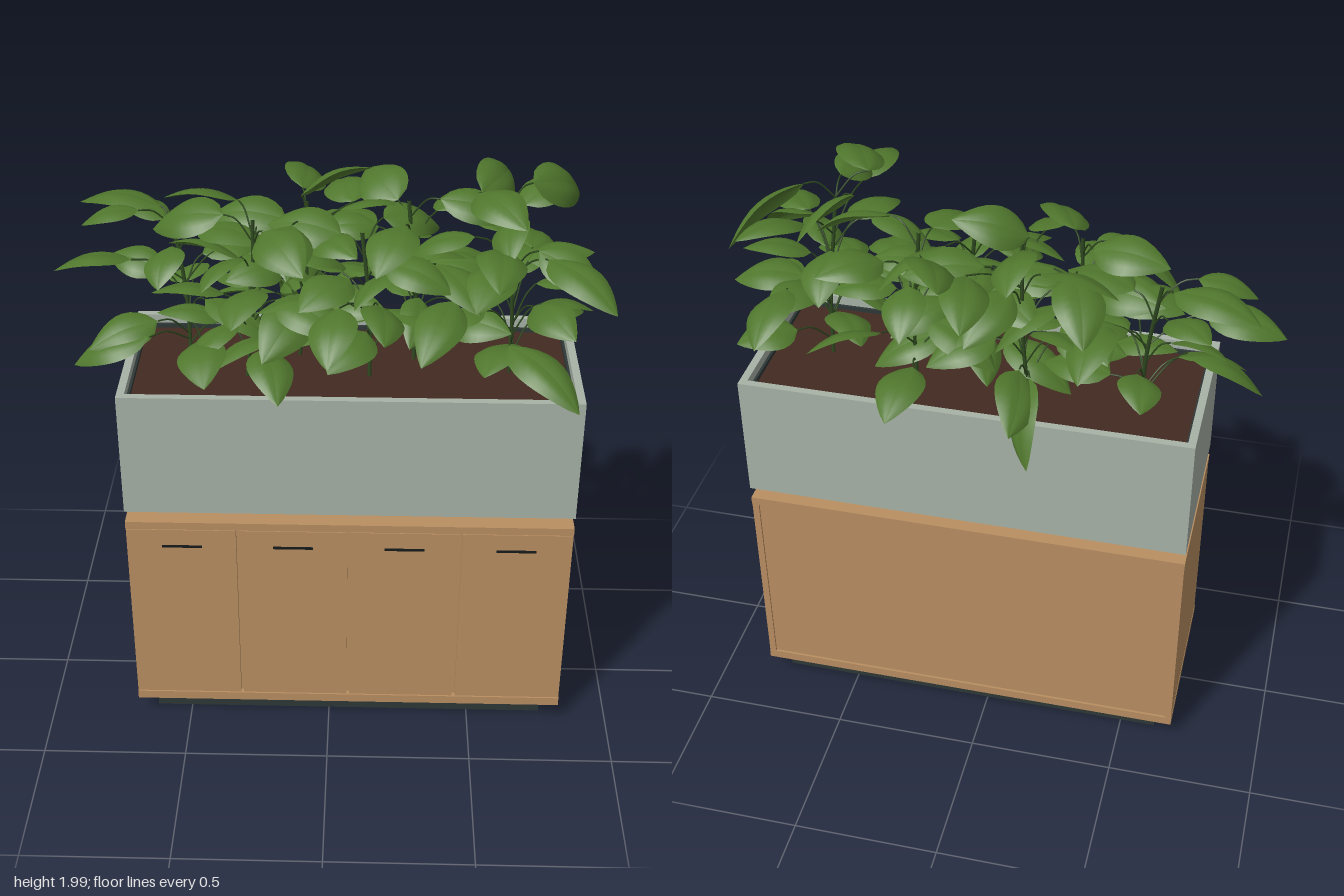
import * as THREE from 'three';
import { mergeGeometries } from 'three/addons/utils/BufferGeometryUtils.js';

const mat = (name, color, side = THREE.FrontSide) => {
  const m = new THREE.MeshStandardMaterial({ color, side });
  m.name = name;
  return m;
};
const V = (x, y, z) => new THREE.Vector3(x, y, z);

// Small seeded generator
function seeded(seed) {
  let s = seed;
  return (a, b) => {
    s = (s * 16807) % 2147483647;
    return a + (b - a) * (s / 2147483647);
  };
}

// Unit leaf along +z: two curved halves meeting in a creased midrib
function leafGeometry() {
  const halves = [-1, 1].map((side) => {
    const g = new THREE.PlaneGeometry(1, 1, 3, 10);
    const p = g.attributes.position;
    for (let i = 0; i < p.count; i++) {
      const u = p.getX(i) + 0.5;
      const across = side > 0 ? u : u - 1;
      const t = 0.5 - p.getY(i);
      const half = 0.5 * Math.pow(Math.max(0, Math.sin(Math.PI * Math.pow(t, 0.78))), 0.85);
      const a = Math.abs(across);
      const y = 0.13 * Math.sin(Math.PI * t) + half * (0.16 * a - 0.3 * a * a);
      p.setXYZ(i, across * half, y, t);
    }
    g.computeVertexNormals();
    return g;
  });
  return mergeGeometries(halves);
}

export function createModel() {
  const model = new THREE.Group();
  model.name = 'cabinetPlanter';

  const wood = mat('wood', 0xb98f62);
  const dark = mat('charcoal', 0x2e3737);
  const black = mat('handleBlack', 0x15191a);
  const stone = mat('greyGreenPlanter', 0xa8b3a7);
  const earth = mat('soil', 0x422a20);
  const green = mat('leafGreen', 0x50772d, THREE.DoubleSide);
  const stemGreen = mat('stemGreen', 0x2f4a20);

  const add = (name, geo, material, parent = model) => {
    const m = new THREE.Mesh(geo, material);
    m.name = name;
    parent.add(m);
    return m;
  };
  // Box given by its limits on each axis
  const box = (name, material, x0, x1, y0, y1, z0, z1, parent) => {
    const m = add(name, new THREE.BoxGeometry(x1 - x0, y1 - y0, z1 - z0), material, parent);
    m.position.set((x0 + x1) / 2, (y0 + y1) / 2, (z0 + z1) / 2);
    return m;
  };

  const L = -0.688, R = 0.826, B = -0.315, F = 0.29;

  // Cabinet
  const cabinet = new THREE.Group();
  cabinet.name = 'cabinet';
  model.add(cabinet);
  box('plinth', dark, -0.624, 0.763, 0, 0.072, -0.265, 0.239, cabinet);
  box('bottomBoard', wood, L, R, 0.072, 0.104, B, F, cabinet);
  box('topBoard', wood, L, R, 0.818, 0.846, B, F, cabinet);
  box('carcass', wood, L + 0.024, R - 0.024, 0.104, 0.818, B + 0.008, F - 0.022, cabinet);
  box('sidePanel', wood, L + 0.001, L + 0.024, 0.104, 0.818, B + 0.001, F - 0.02, cabinet);
  box('sidePanel', wood, R - 0.024, R - 0.001, 0.104, 0.818, B + 0.001, F - 0.02, cabinet);

  // Four doors with slim pulls
  const pitch = (R - L) / 4;
  for (let i = 0; i < 4; i++) {
    const x0 = L + i * pitch, cx = x0 + pitch / 2;
    box('door', wood, x0 + (i ? 0.005 : 0.001), x0 + pitch - (i < 3 ? 0.005 : 0.001), 0.108, 0.815, F - 0.02, F - 0.001, cabinet);
    box('doorPull', black, cx - 0.068, cx + 0.068, 0.745, 0.753, F - 0.001, F + 0.003, cabinet);
  }

  // Tapered feet under the planter
  for (const x of [-0.546, 0.684]) for (const z of [-0.2, 0.178]) {
    add('planterFoot', new THREE.CylinderGeometry(0.023, 0.029, 0.044, 20), dark).position.set(x, 0.868, z);
  }

  // Planter walls, dark liner, base and soil
  const rect = (P, i) => P.moveTo(L + i, B + i).lineTo(R - i, B + i).lineTo(R - i, F - i).lineTo(L + i, F - i).closePath();
  const frame = (name, material, outerInset, innerInset, y0, y1) => {
    const ring = rect(new THREE.Shape(), outerInset);
    ring.holes.push(rect(new THREE.Path(), innerInset));
    const g = new THREE.ExtrudeGeometry(ring, { depth: y1 - y0, bevelEnabled: false });
    g.rotateX(Math.PI / 2);
    add(name, g, material).position.y = y1;
  };
  const wall = 0.026;
  frame('planterWalls', stone, 0, wall, 0.888, 1.332);
  frame('planterLiner', dark, wall, wall + 0.009, 0.92, 1.3);
  box('planterBase', dark, L + 0.02, R - 0.02, 0.886, 0.889, B + 0.02, F - 0.02);
  box('soilBed', earth, L + wall, R - wall, 0.89, 1.285, B + wall, F - wall);

  // Plants
  const rnd = seeded(2027);
  const leafGeo = leafGeometry();
  const tube = (pts, r) => new THREE.TubeGeometry(new THREE.CatmullRomCurve3(pts), 8, r, 5);
  const addLeaf = (base, tip, width, roll, parent) => {
    const dir = tip.clone().sub(base), len = dir.length();
    dir.normalize();
    const right = V(0, 1, 0).cross(dir).normalize();
    const up = dir.clone().cross(right);
    const m = add('leaf', leafGeo, green, parent);
    m.quaternion.setFromRotationMatrix(new THREE.Matrix4().makeBasis(right, up, dir));
    m.rotateZ(roll);
    m.position.copy(base);
    m.scale.set(width, len, len);
  };

  // Stem foot x, z and head x, y, z
  const stems = [
    [-0.48, -0.08, -0.53, 1.8, -0.14],
    [-0.28, 0.05, -0.25, 1.84, 0.02],
    [-0.11, -0.1, -0.08, 1.86, -0.09],
    [0.13, 0.04, 0.1, 1.8, 0.02],
    [0.28, -0.08, 0.25, 1.86, -0.1],
    [0.6, 0, 0.56, 1.88, 0.02],
  ];
  const plants = stems.map(([fx, fz, hx, hy, hz]) => {
    const group = new THREE.Group();
    group.name = 'plant';
    model.add(group);
    const curve = new THREE.CatmullRomCurve3([
      V(fx, 1.27, fz), V(fx * 0.6 + hx * 0.4 + 0.012, 1.5, fz * 0.6 + hz * 0.4), V(hx, hy, hz)]);
    add('stem', new THREE.TubeGeometry(curve, 12, 0.0065, 6), stemGreen, group);
    return { group, curve, head: hy };
  });
  // Leaf with its stalk, springing a little below the leaf base
  const stalked = (plant, base, tip, width, roll) => {
    const t = THREE.MathUtils.clamp((base.y - 0.07 - 1.27) / (plant.head - 1.27), 0.1, 1);
    const root = plant.curve.getPoint(t);
    const mid = root.clone().lerp(base, 0.6);
    mid.y += 0.025;
    add('leafStalk', tube([root, mid, base], 0.003), stemGreen, plant.group);
    addLeaf(base, tip, width, roll, plant.group);
  };

  // Inner foliage spirals up each stem, thinner on the first plant
  plants.forEach((plant, k) => {
    const n = k === 0 ? 10 : 15;
    for (let i = 0; i < n; i++) {
      const f = i / (n - 1);
      const a = i * 2.4 + k * 1.1;
      const y = 1.43 + f * (plant.head - 1.43) + rnd(-0.02, 0.03);
      const stem = plant.curve.getPoint(Math.min(1, (y - 1.27) / (plant.head - 1.27)));
      const reach = rnd(0.07, 0.17) * (1 - 0.15 * f);
      const len = rnd(0.21, 0.27);
      const rise = rnd(-0.5, 0.08) * len;
      const base = V(stem.x + Math.cos(a) * reach * 0.8, y, stem.z + Math.sin(a) * reach * (k ? 1.1 : 0.8));
      const b = a + rnd(-0.4, 0.4);
      const tip = V(base.x + Math.cos(b) * len, y + rise, base.z + Math.sin(b) * len * (k ? 0.95 : 0.7));
      tip.x = THREE.MathUtils.clamp(tip.x, -0.82, 0.86);
      stalked(plant, base, tip, len * rnd(0.56, 0.68), rnd(-0.55, 0.55));
    }
  });

  // Outer leaves: plant, base x y z, tip x y z, roll
  const outer = [
    [0, -0.66, 1.66, -0.05, -0.92, 1.61, -0.06, 0.2],
    [0, -0.57, 1.8, -0.17, -0.85, 1.77, -0.26, 0.1],
    [0, -0.6, 1.43, 0.06, -0.86, 1.31, 0.04, -0.3],
    [0, -0.41, 1.5, 0.2, -0.38, 1.46, 0.45, 0.2],
    [0, -0.36, 1.65, -0.17, -0.33, 1.6, -0.44, 0.3],
    [2, -0.14, 1.46, -0.24, -0.18, 1.26, -0.46, 1],
    [2, 0.07, 1.8, -0.22, 0.02, 1.76, -0.49, -0.2],
    [3, 0.03, 1.62, 0.2, 0, 1.52, 0.43, 0.2],
    [5, 0.67, 1.65, -0.2, 0.69, 1.58, -0.46, 0.3],
    [5, 0.67, 1.6, -0.03, 0.91, 1.56, -0.05, -0.2],
    [5, 0.69, 1.76, 0.12, 0.89, 1.67, 0.33, 0.1],
    [5, 0.57, 1.52, 0.25, 0.78, 1.4, 0.47, 0.1],
    [5, 0.53, 1.84, 0.22, 0.51, 1.82, 0.49, -0.2],
    [5, 0.64, 1.95, -0.04, 0.82, 1.82, -0.27, 0.9],
    [5, 0.46, 1.96, 0.07, 0.6, 1.93, 0.28, 0.3],
    [5, 0.48, 1.92, -0.03, 0.58, 1.89, -0.3, 0.8],
    [4, 0.4, 1.6, 0.1, 0.29, 1.5, 0.37, -0.2],
    [1, -0.3, 1.86, -0.08, -0.55, 1.85, -0.12, 0.4],
  ];
  for (const [k, bx, by, bz, tx, ty, tz, roll] of outer) {
    stalked(plants[k], V(bx, by, bz), V(tx, ty, tz), 0.16, roll);
  }
  // Upright leaf above the middle of the bed
  stalked(plants[2], V(-0.1, 1.88, -0.08), V(0.13, 1.95, -0.15), 0.15, -0.6);

  return model;
}
